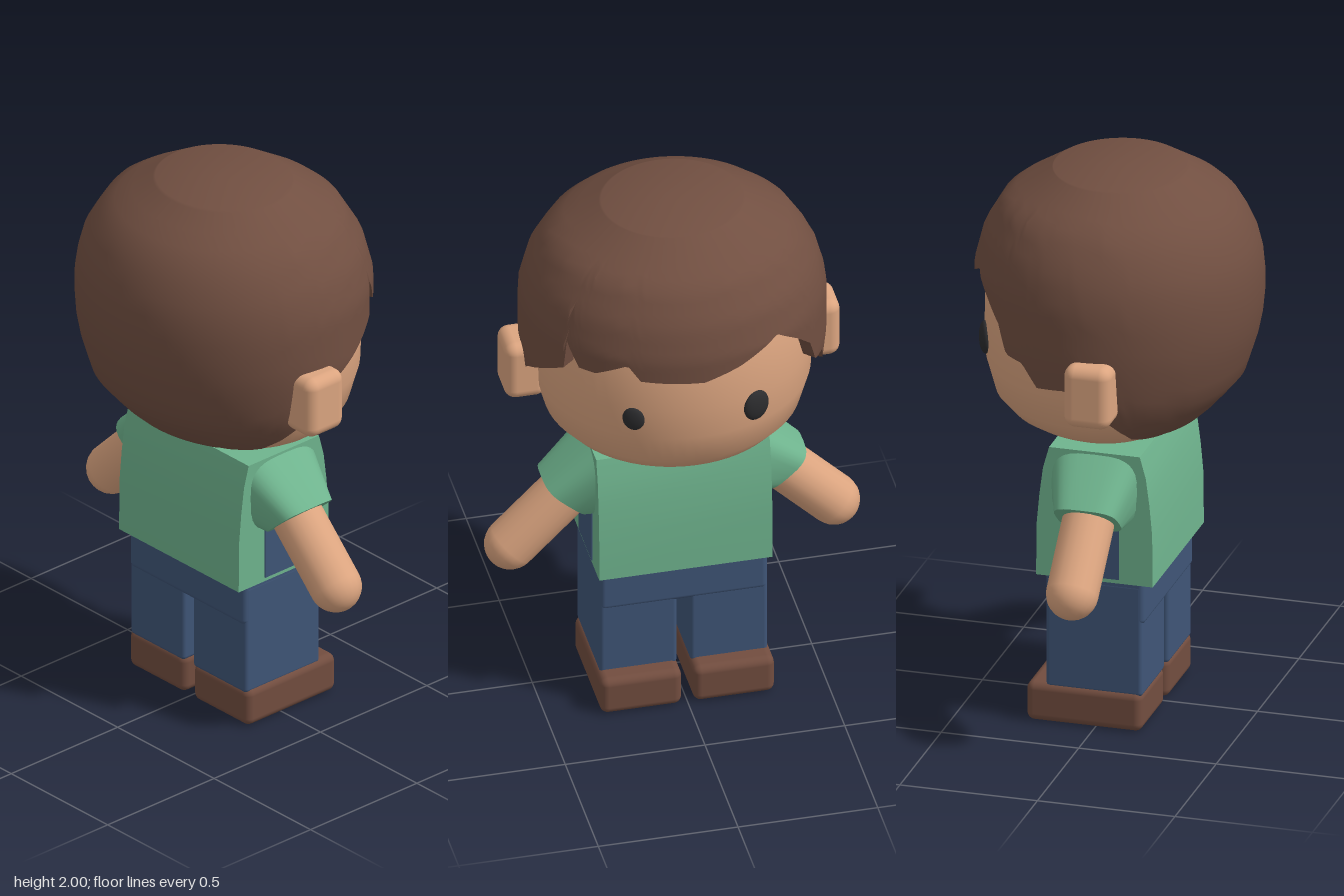
import * as THREE from 'three';
import { toCreasedNormals } from 'three/addons/utils/BufferGeometryUtils.js';
import { RoundedBoxGeometry } from 'three/addons/geometries/RoundedBoxGeometry.js';

const material = (name, color, side = THREE.FrontSide) => {
  const m = new THREE.MeshStandardMaterial({ color, side });
  m.name = name;
  return m;
};

// Skin a list of equally sized closed rings of [x, y, z] points.
function loft(rings, crease = 0.7) {
  const n = rings[0].length, index = [];
  for (let i = 0; i < rings.length - 1; i++) {
    for (let j = 0; j < n; j++) {
      const k = (j + 1) % n;
      const a = i * n + j, b = i * n + k, c = a + n, d = b + n;
      index.push(a, b, c, b, d, c);
    }
  }
  const g = new THREE.BufferGeometry();
  g.setAttribute('position', new THREE.Float32BufferAttribute(rings.flat(2), 3));
  g.setIndex(index);
  return toCreasedNormals(g, crease);
}

// Linear lookup in a list of [key, value] pairs with rising keys.
function lookup(table, key) {
  if (key <= table[0][0]) return table[0][1];
  for (let i = 1; i < table.length; i++) {
    const [k0, v0] = table[i - 1], [k1, v1] = table[i];
    if (key <= k1) return v0 + (v1 - v0) * (key - k0) / (k1 - k0);
  }
  return table[table.length - 1][1];
}

const circle = (n, fn) => Array.from({ length: n }, (_, j) => fn(j / n * Math.PI * 2));

// Head outline: height -> share of the full radius.
const HEAD = [[1.07, 0.57], [1.09, 0.71], [1.12, 0.81], [1.18, 0.92], [1.3, 0.99], [1.42, 1],
  [1.62, 0.99], [1.75, 0.88], [1.88, 0.6]];
const HAIR_BACK = [[1.06, 0.26], [1.08, 0.48], [1.12, 0.64], [1.25, 0.87], [1.4, 0.965], [1.5, 1],
  [1.65, 1], [1.77, 0.94], [1.89, 0.8], [2, 0.46]];
const HAIR_SIDE = [[1.06, 0.5], [1.09, 0.71], [1.12, 0.8], [1.18, 0.9], [1.3, 0.97], [1.45, 1],
  [1.65, 1], [1.77, 0.94], [1.89, 0.8], [2, 0.46]];
// Hairline: angle in degrees from the face -> height.
const HAIRLINE = [[-140, 1.063], [-127, 1.11], [-114, 1.13], [-99, 1.25], [-85, 1.35], [-72, 1.34],
  [-65, 1.42], [-56, 1.43], [-51, 1.53], [-42, 1.6], [-31, 1.67], [-14, 1.6], [0, 1.56], [24, 1.57],
  [29, 1.63], [42, 1.57], [49.5, 1.57], [55.5, 1.66], [57, 1.54], [85, 1.4], [99, 1.25],
  [114, 1.13], [127, 1.11], [140, 1.063]];

function headGeometry() {
  const ring = (y, s) => circle(64, (t) => {
    const c = Math.cos(t);
    return [c * s * (c > 0 ? 0.47 : 0.34), y, Math.sin(t) * s * 0.49];
  });
  const rings = HEAD.map(([y, s]) => ring(y, s)).reverse();
  return loft([ring(1.88, 0.001), ...rings, ring(1.07, 0.001)]);
}

function hairGeometry() {
  const rows = 20;
  const point = (t, y, s) => [Math.cos(t) * s * 0.503, y, Math.sin(t) * s * 0.54];
  const edge = (t) => {
    const deg = t * 180 / Math.PI;
    return lookup(HAIRLINE, deg > 180 ? deg - 360 : deg);
  };
  const radius = (t, y) => {
    const w = Math.max(0, -Math.cos(t));
    return lookup(HAIR_SIDE, y) * (1 - w) + lookup(HAIR_BACK, y) * w;
  };
  const rings = [circle(240, (t) => point(t, 2, 0.001))];
  for (let i = 0; i <= rows; i++) {
    const f = 0.5 - 0.5 * Math.cos(Math.PI * i / rows);
    rings.push(circle(240, (t) => {
      const y = 2 - (2 - edge(t)) * f;
      return point(t, y, radius(t, y));
    }));
  }
  // lip turning in to meet the head
  rings.push(circle(240, (t) => point(t, edge(t) + 0.015, radius(t, edge(t)) * 0.85)));
  return loft(rings);
}

function shirtGeometry() {
  const side = [[0.212, 0.555], [0.21, 0.75], [0.2, 0.86], [0.187, 0.96], [0.165, 1.04]];
  const outline = [...side, ...side.map(([x, y]) => [-x, y]).reverse()];
  const shape = new THREE.Shape(outline.map(([x, y]) => new THREE.Vector2(x, y)));
  const g = new THREE.ExtrudeGeometry(shape, { depth: 0.62, bevelEnabled: false });
  return toCreasedNormals(g.translate(0, 0, -0.31), 0.6);
}

function sleeveGeometry() {
  const soft = (v) => Math.sign(v) * Math.abs(v) ** 0.6;
  const ring = (z, y, hx, uz, uy) => circle(32, (t) => {
    const u = soft(Math.sin(t));
    return [hx * soft(Math.cos(t)), y + uy * u, z + uz * u];
  });
  return loft([
    ring(0.3, 0.9, 0.16, 0, 0.14),
    ring(0.392, 0.815, 0.115, 0.077, 0.067),
    ring(0.392, 0.815, 0.001, 0, 0),
  ]);
}

export function createModel() {
  const root = new THREE.Group();
  root.name = 'bigHeadedFigure';
  const skin = material('skin', 0xdca580);
  const hair = material('hair brown', 0x714f41, THREE.DoubleSide);
  const shoe = material('shoe brown', 0x724d3f);
  const shirt = material('shirt green', 0x6fb48e, THREE.DoubleSide);
  const pants = material('trouser blue', 0x3f5577);
  const black = material('eye black', 0x2c2c2e);

  const add = (name, geometry, mat, x = 0, y = 0, z = 0, parent = root) => {
    const mesh = new THREE.Mesh(geometry, mat);
    mesh.name = name;
    mesh.position.set(x, y, z);
    parent.add(mesh);
    return mesh;
  };
  const box = (w, h, d, r) => new RoundedBoxGeometry(w, h, d, 4, r);

  // Head
  add('head', headGeometry(), skin);
  add('hair', hairGeometry(), hair);
  add('neck', new THREE.CylinderGeometry(0.15, 0.15, 0.12, 24), skin, 0, 1.03, 0).scale.set(0.97, 1, 1.13);

  // Eyes, turned to follow the face
  for (const [z, x, size] of [[0.235, 0.412, 0.042], [-0.2, 0.43, 0.054]]) {
    const eye = add('eye', new THREE.SphereGeometry(size, 20, 14), black, x, 1.38, z);
    eye.scale.set(0.4, 1.1, 0.95);
    eye.rotation.y = -Math.atan2(z / 0.24, x / 0.22);
  }

  // Body
  add('shirt', shirtGeometry(), shirt);
  add('hips', box(0.36, 0.2, 0.6, 0.02), pants, 0.003, 0.5, 0);

  // Paired parts
  for (const side of [1, -1]) {
    const half = new THREE.Group();
    half.name = side > 0 ? 'sideA' : 'sideB';
    root.add(half);
    add('ear', box(0.17, 0.23, 0.15, 0.04), skin, -0.053, 1.355, side * 0.525, half);
    add('leg', box(0.35, 0.42, 0.277, 0.015), pants, 0.005, 0.34, side * 0.162, half);
    add('shoe', box(0.42, 0.145, 0.29, 0.028), shoe, 0.04, 0.0725, side * 0.166, half);
    add('sidePatch', new THREE.BoxGeometry(0.2, 0.2, 0.008), pants, 0.01, 0.67, side * 0.31, half);

    const limb = new THREE.Group();
    limb.name = 'armGroup';
    limb.rotation.y = side > 0 ? 0 : Math.PI;
    half.add(limb);
    add('sleeve', sleeveGeometry(), shirt, 0, 0, 0, limb);
    const arm = add('arm', new THREE.CapsuleGeometry(0.092, 0.35, 8, 20), skin, 0, 0.735, 0.455, limb);
    arm.rotation.x = -Math.PI / 4;
  }
  return root;
}
